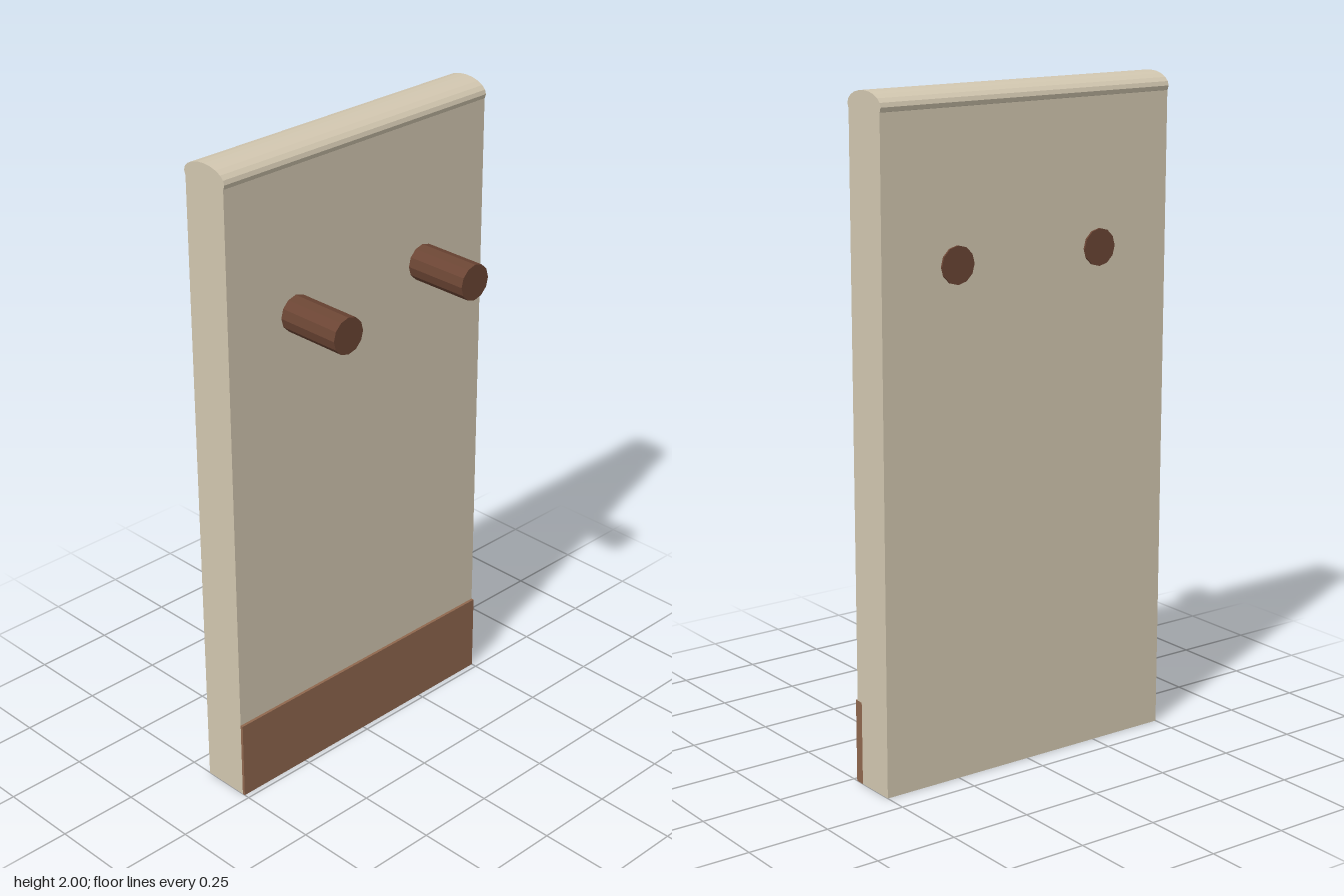
import * as THREE from 'three';

export function createModel() {
  const model = new THREE.Group();
  model.name = 'wallWithPegs';

  const material = (name, color) => {
    const m = new THREE.MeshStandardMaterial({ color, flatShading: true });
    m.name = name;
    return m;
  };
  const plaster = material('plaster', 0xd2c7b0);
  const skirtingWood = material('skirtingWood', 0x8f674e);
  const pegWood = material('pegWood', 0x6b4534);

  const add = (name, geometry, mat, x, y, z) => {
    const mesh = new THREE.Mesh(geometry, mat);
    mesh.name = name;
    mesh.position.set(x, y, z);
    model.add(mesh);
    return mesh;
  };

  // Upright slab
  add('wallPanel', new THREE.BoxGeometry(1, 1.96, 0.15), plaster, 0, 0.98, -0.101);

  // Flattened round capping, slightly wider than the slab
  const cap = new THREE.CylinderGeometry(0.08, 0.08, 1, 20);
  cap.rotateZ(Math.PI / 2);
  cap.scale(1, 0.5, 1);
  add('roundedCap', cap, plaster, 0, 1.96, -0.101);

  // Skirting board along the foot of the front
  add('skirtingBoard', new THREE.BoxGeometry(1, 0.25, 0.03), skirtingWood, 0, 0.125, -0.032);

  // Pair of pegs running right through the slab
  const peg = new THREE.CylinderGeometry(0.055, 0.055, 0.364, 12);
  peg.rotateX(Math.PI / 2);
  add('leftPeg', peg, pegWood, 0.25, 1.513, 0);
  add('rightPeg', peg, pegWood, -0.25, 1.513, 0);

  return model;
}
